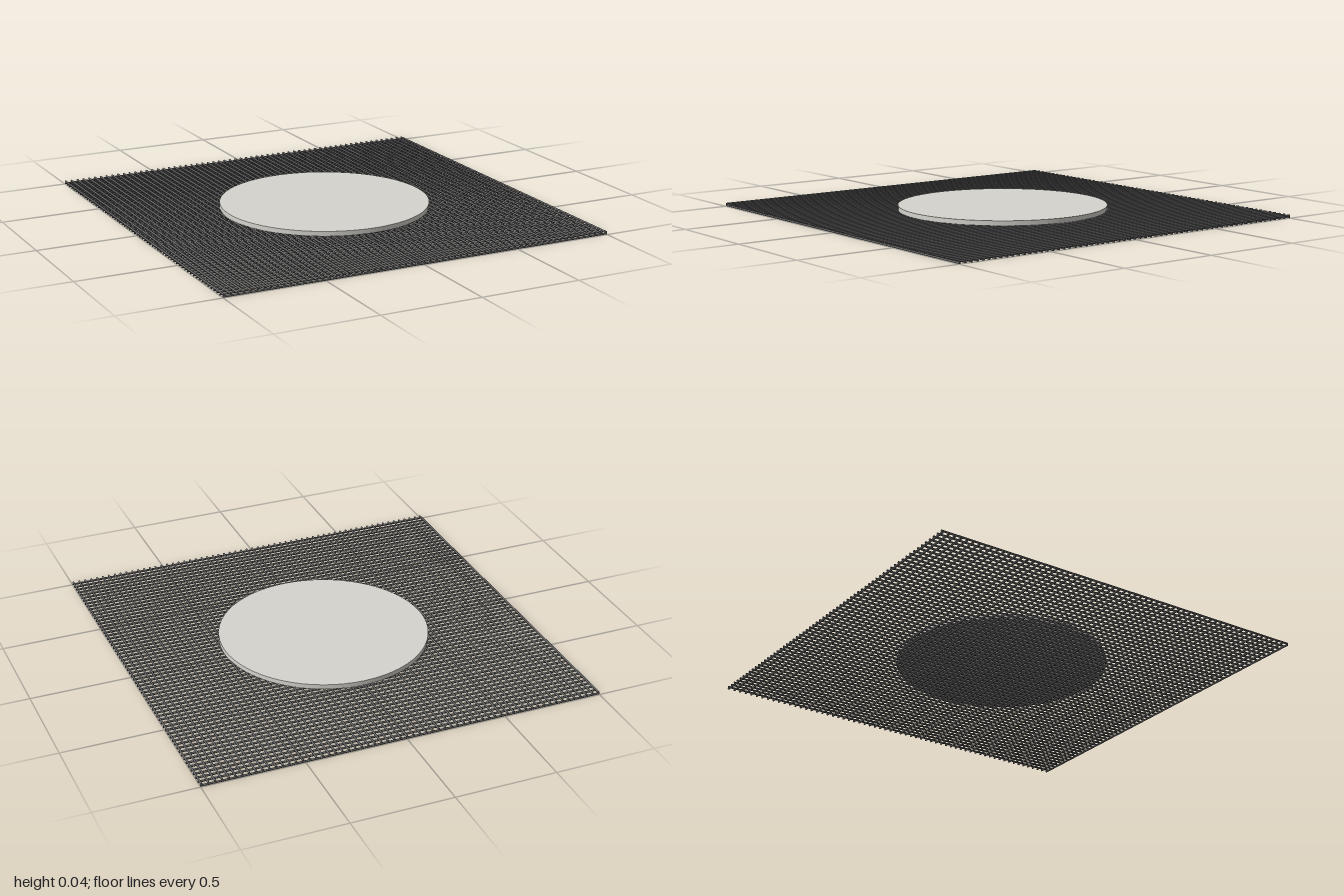
import * as THREE from 'three';
import { mergeGeometries } from 'three/addons/utils/BufferGeometryUtils.js';

const WIRES = 63;
const RADIUS = 0.005;

// One layer of parallel wires running along x at the given height
function wireLayer(y) {
  const wires = [];
  const reach = 1 - RADIUS;
  for (let i = 0; i < WIRES; i++) {
    const offset = -reach + (2 * reach * i) / (WIRES - 1);
    wires.push(new THREE.CylinderGeometry(RADIUS, RADIUS, 2, 8).rotateZ(Math.PI / 2).translate(0, y, offset));
  }
  return mergeGeometries(wires);
}

export function createModel() {
  const model = new THREE.Group();
  model.name = 'wireGauze';
  const wireMaterial = new THREE.MeshStandardMaterial({ color: 0x666666 });
  const discMaterial = new THREE.MeshStandardMaterial({ color: 0xd6d4ce });

  // Lower wires cross side to side, upper wires front to back
  const crossWires = new THREE.Mesh(wireLayer(RADIUS), wireMaterial);
  crossWires.name = 'crossWires';
  const lengthWires = new THREE.Mesh(wireLayer(0.0135).rotateY(Math.PI / 2), wireMaterial);
  lengthWires.name = 'lengthWires';

  // Round heat-spreading pad lying on the mesh
  const bottom = 0.018, top = 0.042;
  const pad = new THREE.Mesh(new THREE.CylinderGeometry(0.52, 0.52, top - bottom, 64), discMaterial);
  pad.position.y = (top + bottom) / 2;
  pad.name = 'centrePad';

  model.add(crossWires, lengthWires, pad);
  return model;
}
